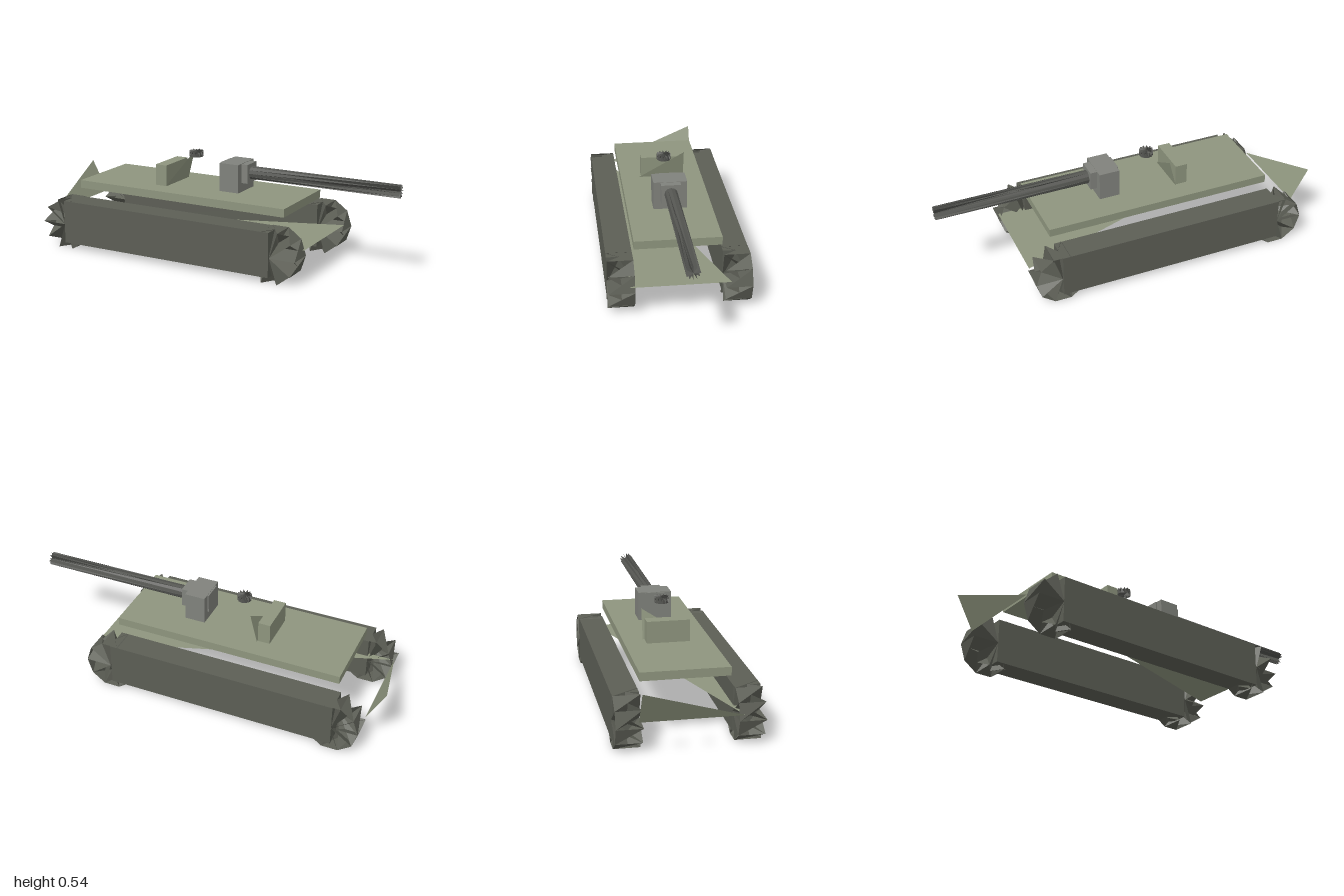
import * as THREE from 'three';

const material = (color) => new THREE.MeshStandardMaterial({ color, flatShading: true, side: THREE.DoubleSide });
const green = material(0x8e957e);
const trackGrey = material(0x5c5e55);
const turretGrey = material(0x80827c);
const gunGrey = material(0x555652);

function addMesh(parent, name, geometry, mat) {
  const mesh = new THREE.Mesh(geometry, mat);
  mesh.name = name;
  parent.add(mesh);
  return mesh;
}

// Box given by its lowest and highest corners
function addBox(parent, name, lo, hi, mat) {
  const size = hi.map((v, i) => v - lo[i]);
  const mesh = addMesh(parent, name, new THREE.BoxGeometry(...size), mat);
  mesh.position.set(...hi.map((v, i) => (v + lo[i]) / 2));
  return mesh;
}

function fromTriangles(triangles) {
  const g = new THREE.BufferGeometry();
  g.setAttribute('position', new THREE.Float32BufferAttribute(triangles.flat(2), 3));
  g.computeVertexNormals();
  return g;
}

// Spiky drum along z: half of each side facet, and end fans twisted to the opposite rim
function spikyDrum(radius, length, sides) {
  const rim = (i, z) => {
    const a = (i / sides) * Math.PI * 2;
    return [radius * Math.cos(a), radius * Math.sin(a), z];
  };
  const h = length / 2;
  const triangles = [];
  for (let i = 0; i < sides; i++) {
    triangles.push([rim(i, h), rim(i, -h), rim(i + 1, -h)]);
    triangles.push([[0, 0, h], rim(i, h), rim(i + 1, -h)]);
    triangles.push([[0, 0, -h], rim(i, -h), rim(i + 1, h)]);
  }
  return fromTriangles(triangles);
}

// Open plates: a triangular floor and a leaning triangular rear plate
function addPlates(parent, name, x0, x1, xTop, y0, y1, w) {
  addMesh(parent, name + 'Floor', fromTriangles([[[x0, y0, w], [x1, y0, w], [x1, y0, -w]]]), green);
  addMesh(parent, name + 'RearPlate', fromTriangles([[[x0, y0, w], [x0, y0, -w], [xTop, y1, -w]]]), green);
}

export function createModel() {
  const model = new THREE.Group();
  model.name = 'tank';

  // Hull
  const hull = new THREE.Group();
  hull.name = 'hull';
  model.add(hull);
  addBox(hull, 'deck', [-0.75, 0.307, -0.221], [0.477, 0.35, 0.221], green);
  addPlates(hull, 'hull', -0.905, 0.605, -1, 0.165, 0.337, 0.25);

  // Tracks, each a long box with a spiky drum at both ends
  for (const [side, s] of [['left', 1], ['right', -1]]) {
    const track = new THREE.Group();
    track.name = side === 'left' ? 'frontTrack' : 'rearTrack';
    track.position.z = s * 0.292;
    model.add(track);
    addBox(track, 'trackBody', [-0.765, 0.03, -0.066], [0.46, 0.262, 0.066], trackGrey);
    for (const x of [-0.764, 0.465]) {
      addMesh(track, 'trackWheel', spikyDrum(0.139, 0.132, 10), trackGrey).position.set(x, 0.1325, 0);
    }
  }

  // Turret
  const turret = new THREE.Group();
  turret.name = 'turret';
  model.add(turret);
  addBox(turret, 'storageBox', [-0.335, 0.35, -0.11], [-0.27, 0.463, 0.11], green);
  addPlates(turret, 'turret', -0.268, 0.04, -0.23, 0.3515, 0.503, 0.12);
  addBox(turret, 'gunMount', [0.04, 0.358, -0.087], [0.15, 0.508, 0.087], turretGrey);
  addBox(turret, 'mantlet', [0.032, 0.406, -0.051], [0.186, 0.506, 0.051], turretGrey);

  // Gun barrel and hatch
  const barrel = addMesh(turret, 'gunBarrel', spikyDrum(0.035, 0.815, 12), gunGrey);
  barrel.rotation.y = Math.PI / 2;
  barrel.position.set(0.5925, 0.456, 0);
  const hatch = addMesh(turret, 'hatch', spikyDrum(0.037, 0.033, 12), gunGrey);
  hatch.rotation.x = -Math.PI / 2;
  hatch.position.set(-0.148, 0.523, 0);

  return model;
}
